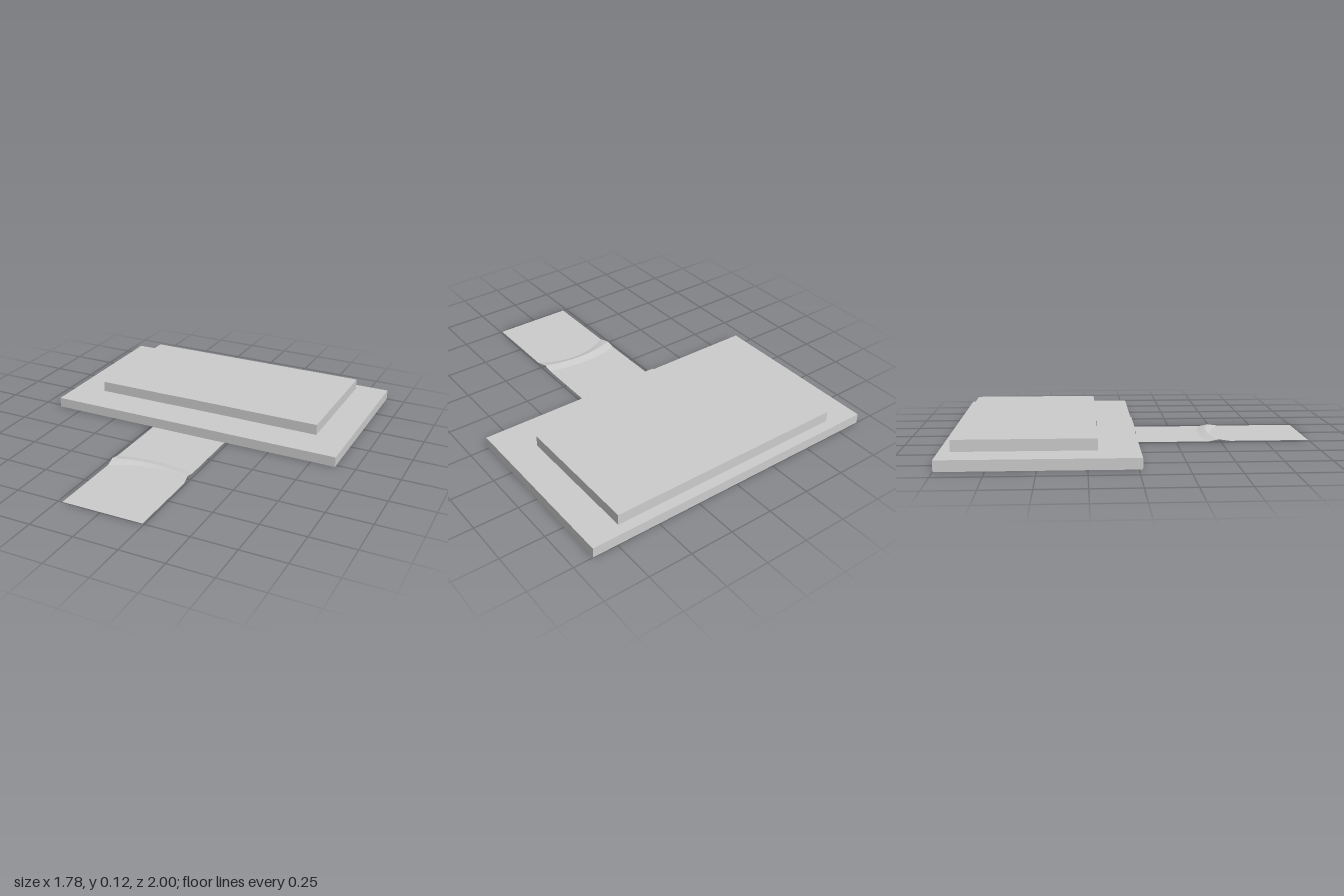
import * as THREE from 'three';

const material = new THREE.MeshStandardMaterial({ color: 0xcccccc, flatShading: true });
const clothMaterial = new THREE.MeshStandardMaterial({ color: 0xcccccc, flatShading: true, side: THREE.DoubleSide });

function addTier(group, name, width, y0, y1, z0, z1) {
  const mesh = new THREE.Mesh(new THREE.BoxGeometry(width, y1 - y0, z1 - z0), material);
  mesh.name = name;
  mesh.position.set(0, (y0 + y1) / 2, (z0 + z1) / 2);
  group.add(mesh);
}

// Thin runner: each row is [y, z, bow of z toward the edges, x shift]
function carpetGeometry() {
  const rows = [
    [0.123, -0.36, 0, 0], [0.123, -0.192, 0, 0],   // lying on the upper tier
    [0.061, -0.192, 0, 0], [0.061, 0.025, 0, 0],   // down to the lower tier
    [0.001, 0.025, 0, 0],                          // down to the floor
    [0.001, 0.40, 0.035, 0],                       // wrinkle start
    [0.012, 0.45, 0.04, 0],                        // wrinkle crest
    [0.001, 0.48, 0.075, 0.01],                    // wrinkle end
    [0.001, 1, 0, 0.01],
  ];
  const columns = 8;
  const geometry = new THREE.PlaneGeometry(1, 1, columns, rows.length - 1);
  const position = geometry.attributes.position;
  rows.forEach(([y, z, bow, shift], r) => {
    for (let c = 0; c <= columns; c++) {
      const u = (c / columns) * 2 - 1;
      position.setXYZ(r * (columns + 1) + c, -0.0025 + shift + u * 0.2325, y, z + bow * u * u);
    }
  });
  geometry.computeVertexNormals();
  return geometry;
}

export function createModel() {
  const group = new THREE.Group();
  group.name = 'steppedStage';
  addTier(group, 'lowerTier', 1.78, 0, 0.058, -1, 0.02);
  addTier(group, 'upperTier', 1.405, 0.058, 0.12, -0.94, -0.196);

  // Carpet runner draped over both tiers
  const carpet = new THREE.Mesh(carpetGeometry(), clothMaterial);
  carpet.name = 'carpetRunner';
  group.add(carpet);
  return group;
}
